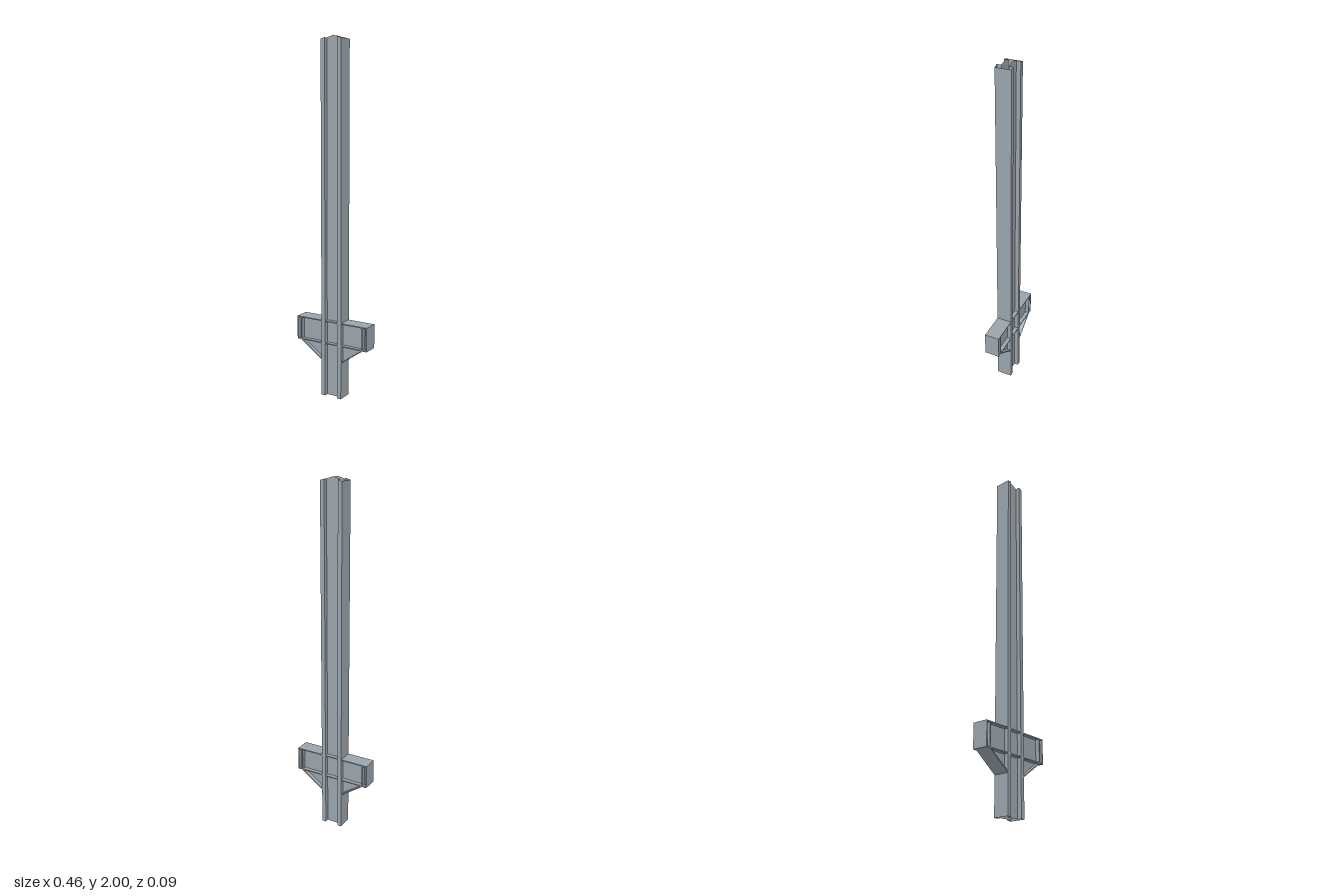
import * as THREE from 'three';

const D = 0.0435;   // half depth of flanges
const W = 0.02;     // half thickness of webs
const X = 0.064;    // outer face of the column
const XI = 0.04;    // inner face of the column flange
const END = 0.228;  // outer end of a bracket
const T = 0.006;    // plate thickness
const TOP = 0.442, LOW = 0.306, FOOT = 0.21;

const steel = new THREE.MeshStandardMaterial({ color: 0x9aa4ac, side: THREE.DoubleSide });
steel.name = 'steel grey';

function add(parent, name, geometry) {
  const mesh = new THREE.Mesh(geometry, steel);
  mesh.name = name;
  parent.add(mesh);
  return mesh;
}

// Box from its limits, centred in depth unless z limits are given
function plate(parent, name, x0, x1, y0, y1, z0 = -D, z1 = D) {
  const g = new THREE.BoxGeometry(x1 - x0, y1 - y0, z1 - z0);
  g.translate((x0 + x1) / 2, (y0 + y1) / 2, (z0 + z1) / 2);
  return add(parent, name, g);
}

// Flat outline in x, y given depth along z
function slab(parent, name, points, half) {
  const shape = new THREE.Shape(points.map(([x, y]) => new THREE.Vector2(x, y)));
  const g = new THREE.ExtrudeGeometry(shape, { depth: 2 * half, bevelEnabled: false });
  g.translate(0, 0, -half);
  return add(parent, name, g);
}

// Open-ended H-section walls with a shallow ridge at the top
function columnWalls() {
  const half = [[X, -D], [X, D], [XI, D], [XI, W], [0, W], [-XI, W], [-XI, D], [-X, D]];
  const outline = [...half, ...half.map(([x, z]) => [-x, -z])];
  const topY = (x) => 2 - 0.3 * Math.abs(x);
  const pos = [];
  outline.forEach(([x0, z0], i) => {
    const [x1, z1] = outline[(i + 1) % outline.length];
    const a = [x0, 0, z0], b = [x1, 0, z1];
    const c = [x1, topY(x1), z1], d = [x0, topY(x0), z0];
    pos.push(...a, ...c, ...b, ...a, ...d, ...c);
  });
  const g = new THREE.BufferGeometry();
  g.setAttribute('position', new THREE.Float32BufferAttribute(pos, 3));
  // Turn the walls outward
  for (let i = 0; i < pos.length; i += 9) {
    for (let k = 0; k < 3; k++) {
      const t = pos[i + 3 + k];
      pos[i + 3 + k] = pos[i + 6 + k];
      pos[i + 6 + k] = t;
    }
  }
  const n = new THREE.Vector3(), e1 = new THREE.Vector3(), e2 = new THREE.Vector3();
  e1.set(pos[3] - pos[0], pos[4] - pos[1], pos[5] - pos[2]);
  e2.set(pos[6] - pos[0], pos[7] - pos[1], pos[8] - pos[2]);
  n.crossVectors(e1, e2);
  if (n.x > 0) g.setAttribute('position', new THREE.Float32BufferAttribute(pos, 3));
  g.computeVertexNormals();
  return g;
}

// Bracket on the +x side (s = 1) or -x side (s = -1)
function bracket(s) {
  const group = new THREE.Group();
  group.name = s > 0 ? 'leftBracket' : 'rightBracket';
  const bar = (name, x0, x1, y0, y1, half) =>
    plate(group, name, Math.min(s * x0, s * x1), Math.max(s * x0, s * x1), y0, y1, -half, half);
  bar('bracketWeb', X, END - T, LOW + T, TOP - T, W);
  bar('topFlange', X, END, TOP - T, TOP, D);
  bar('bottomFlange', X, END, LOW, LOW + T, D);
  bar('endPlate', END - T, END, LOW + T, TOP - T, D);
  bar('endStiffener', 0.197, 0.197 + T, LOW + T, TOP - T, D);
  // Tapered haunch under the bracket
  slab(group, 'haunchWeb', [[s * X, LOW], [s * 0.195, LOW], [s * X, FOOT + T]], W);
  slab(group, 'haunchFlange',
    [[s * X, FOOT], [s * 0.202, LOW], [s * 0.192, LOW], [s * X, FOOT + 0.007]], D);
  return group;
}

export function createModel() {
  const model = new THREE.Group();
  model.name = 'steelColumn';
  add(model, 'columnSection', columnWalls());
  for (const s of [1, -1]) {
    model.add(bracket(s));
    // Stiffeners between the column flanges, level with the bracket flanges
    const z0 = s > 0 ? W : -D, z1 = s > 0 ? D : -W;
    for (const y of [TOP - T, LOW]) plate(model, 'columnStiffener', -XI, XI, y, y + T, z0, z1);
  }
  return model;
}
